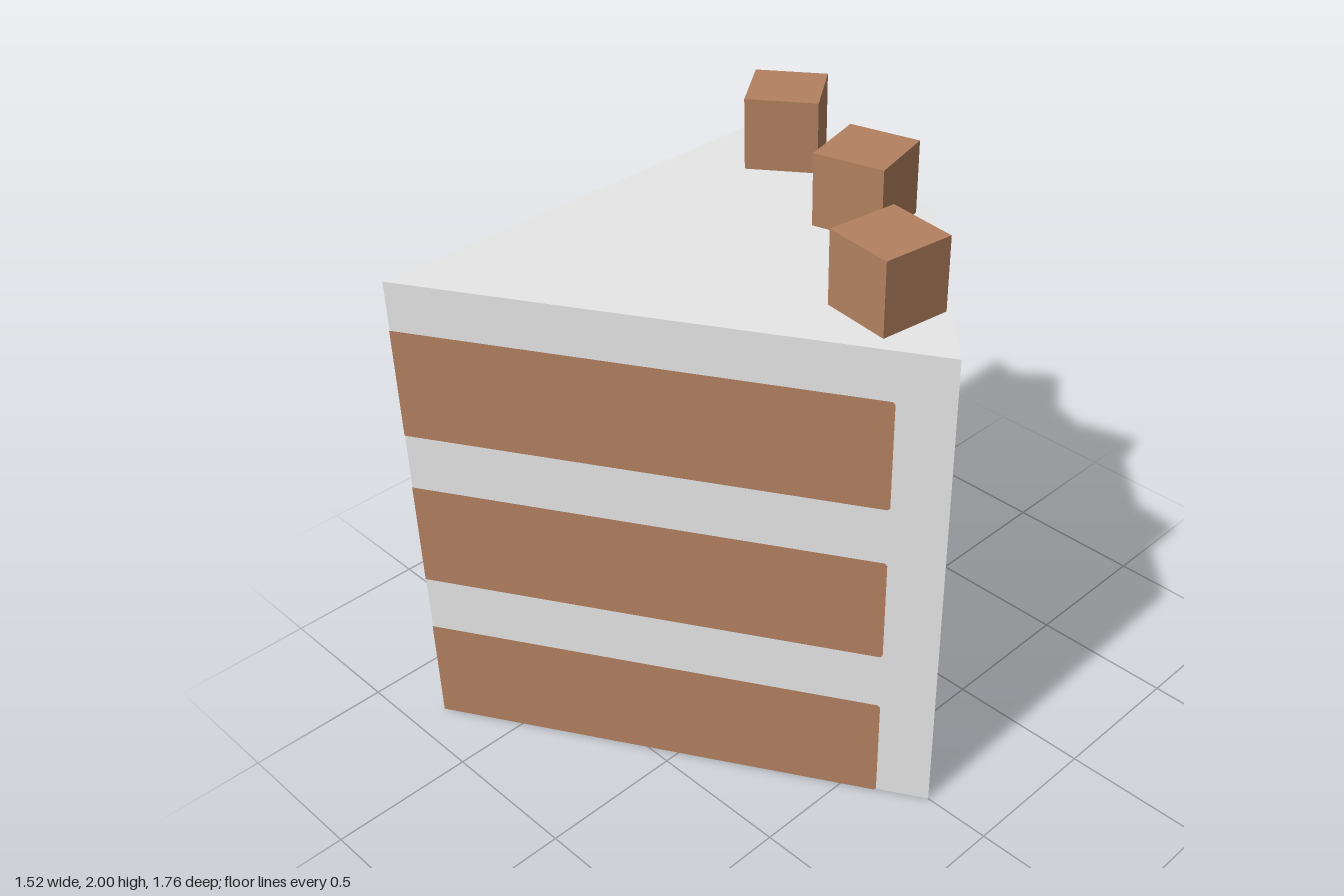
import * as THREE from 'three';

export function createModel() {
  const model = new THREE.Group();
  model.name = 'cakeSlice';
  const cream = new THREE.MeshStandardMaterial({ name: 'cream', color: 0xf0f0f0 });
  const chocolate = new THREE.MeshStandardMaterial({ name: 'chocolate', color: 0xb38160 });

  const add = (parent, name, geometry, material) => {
    const mesh = new THREE.Mesh(geometry, material);
    mesh.name = name;
    parent.add(mesh);
    return mesh;
  };

  // Slice body: four-cornered footprint (x, z) raised to the icing height
  const height = 1.75;
  const footprint = [[-0.76, 0.88], [0.76, 0], [0.12, -0.64], [-0.76, -0.88]];
  const outline = new THREE.Shape(footprint.map(([x, z]) => new THREE.Vector2(x, -z)));
  const body = new THREE.ExtrudeGeometry(outline, { depth: height, bevelEnabled: false });
  body.rotateX(-Math.PI / 2);
  add(model, 'sliceBody', body, cream);

  // Sponge layers on both cut faces, running out from the tip of the slice
  const length = 1.577, nick = 0.008;
  const layers = [[0, 0.39], [0.6, 0.985], [1.19, 1.58]];
  const cutFaces = [
    { name: 'frontLayers', side: 1, angle: Math.PI / 6 },
    { name: 'sideLayers', side: -1, angle: -Math.PI / 2 },
  ];
  for (const { name, side, angle } of cutFaces) {
    const face = new THREE.Group();
    face.name = name;
    face.position.set(-0.76, 0, 0.88);
    face.rotation.y = angle;
    model.add(face);
    for (const [y0, y1] of layers) {
      // the outer end has slightly clipped corners
      const shape = new THREE.Shape([
        [0, y0], [length - nick, y0], [length, y0 + nick],
        [length, y1 - nick], [length - nick, y1], [0, y1],
      ].map(([x, y]) => new THREE.Vector2(side * x, y)));
      add(face, 'spongeLayer', new THREE.ShapeGeometry(shape), chocolate).position.z = 0.003;
    }
  }

  // Chocolate cubes along the back of the icing: x, z, turn in degrees
  const cube = new THREE.BoxGeometry(0.246, 0.25, 0.246);
  for (const [x, z, turn] of [[-0.5, -0.595, 36], [0, -0.4375, 14.5], [0.4225, -0.0675, -7]]) {
    const mesh = add(model, 'chocolateCube', cube, chocolate);
    mesh.position.set(x, height + 0.125, z);
    mesh.rotation.y = THREE.MathUtils.degToRad(turn);
  }
  return model;
}
